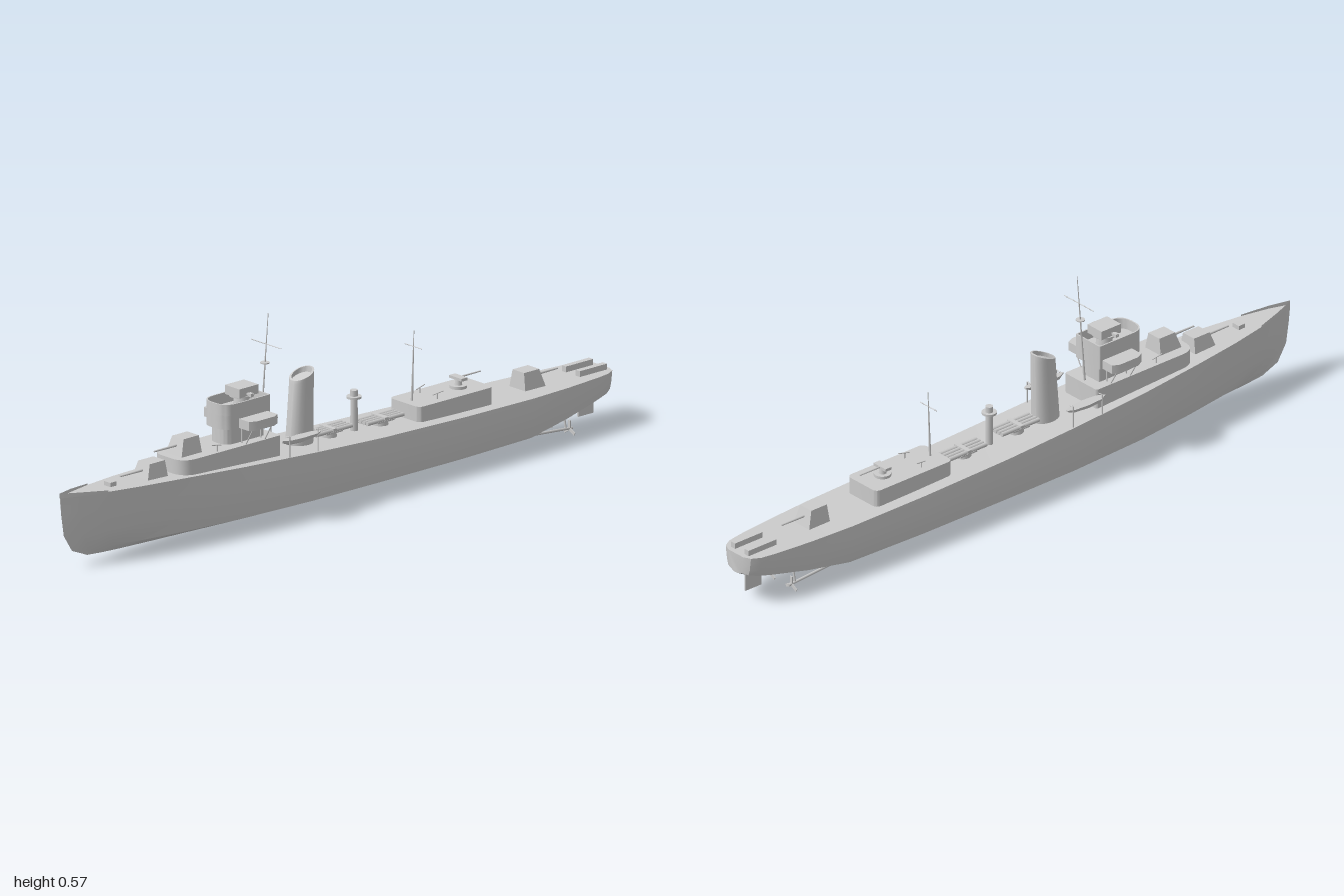
import * as THREE from 'three';
import { toCreasedNormals } from 'three/addons/utils/BufferGeometryUtils.js';

const grey = new THREE.MeshStandardMaterial({ color: 0xcccccc });
const thin = new THREE.MeshStandardMaterial({ color: 0xcccccc, side: THREE.DoubleSide });
const V = (x, y, z) => new THREE.Vector3(x, y, z);

// Hull stations: z, deck half width, deck height, chine half width, chine height, keel height
const STATIONS = [
  [-1, 0.03, 0.15, 0.022, 0.098, 0.092], [-0.99, 0.052, 0.15, 0.042, 0.095, 0.088],
  [-0.965, 0.066, 0.15, 0.056, 0.09, 0.082], [-0.92, 0.074, 0.15, 0.065, 0.082, 0.072],
  [-0.8, 0.086, 0.15, 0.076, 0.058, 0.046], [-0.66, 0.095, 0.151, 0.084, 0.036, 0.02],
  [-0.4, 0.1, 0.155, 0.09, 0.034, 0.015], [-0.1, 0.102, 0.163, 0.091, 0.034, 0.015],
  [0.15, 0.1, 0.174, 0.089, 0.034, 0.015], [0.4, 0.093, 0.186, 0.076, 0.034, 0.015],
  [0.6, 0.078, 0.195, 0.054, 0.034, 0.015], [0.75, 0.061, 0.2, 0.034, 0.035, 0.016],
  [0.86, 0.042, 0.203, 0.018, 0.037, 0.017], [0.94, 0.022, 0.205, 0.008, 0.04, 0.019],
  [1, 0.001, 0.206, 0.001, 0.045, 0.022],
];

function mesh(parent, name, geo, x = 0, y = 0, z = 0, mat = grey) {
  const m = new THREE.Mesh(geo, mat);
  m.name = name;
  m.position.set(x, y, z);
  parent.add(m);
  return m;
}
const box = (w, h, d) => new THREE.BoxGeometry(w, h, d);
const cyl = (r0, r1, h, n = 12) => new THREE.CylinderGeometry(r0, r1, h, n);

// Round bar between two points
function bar(parent, name, a, b, r0, r1 = r0) {
  const m = mesh(parent, name, cyl(r1, r0, a.distanceTo(b), 8));
  m.position.copy(a).lerp(b, 0.5);
  m.quaternion.setFromUnitVectors(V(0, 1, 0), b.clone().sub(a).normalize());
}

// Surface through cross-sections; each ring is a list of points
function loft(rings, closed, cap) {
  const n = rings[0].length, idx = [];
  for (let i = 0; i < rings.length - 1; i++)
    for (let j = 0; j < (closed ? n : n - 1); j++) {
      const a = i * n + j, d = i * n + ((j + 1) % n);
      idx.push(a, a + n, d + n, a, d + n, d);
    }
  if (cap) for (let j = 1; j < n - 1; j++) {
    idx.push(0, j, j + 1);
    const e = (rings.length - 1) * n;
    idx.push(e, e + j + 1, e + j);
  }
  const g = new THREE.BufferGeometry().setFromPoints(rings.flat());
  g.setIndex(idx);
  return toCreasedNormals(g, 0.5);
}

// Plan outline from back z0 to front z1 with rounded corners, raised by h
function plan(w, z0, z1, rb, rf) {
  const s = new THREE.Shape();
  s.moveTo(-w, -z0 - rb).lineTo(-w, -z1 + rf);
  s.quadraticCurveTo(-w, -z1, -w + rf, -z1).lineTo(w - rf, -z1);
  s.quadraticCurveTo(w, -z1, w, -z1 + rf).lineTo(w, -z0 - rb);
  s.quadraticCurveTo(w, -z0, w - rb, -z0).lineTo(-w + rb, -z0);
  s.quadraticCurveTo(-w, -z0, -w, -z0 - rb);
  return s;
}
function raise(shape, h) {
  const g = new THREE.ExtrudeGeometry(shape, { depth: h, bevelEnabled: false, curveSegments: 8 });
  return toCreasedNormals(g.rotateX(-Math.PI / 2), 0.6);
}

function buildHull(g) {
  const stem = [1, 0.995, 0.985, 0.955, 0.9];
  const rings = STATIONS.map(([z, w, dy, cw, cy, ky]) => {
    const bulge = z > -0.7 && z < 0.5 ? 0.003 : 0;
    const half = [[w, dy], [w * 0.8 + cw * 0.2 + bulge, dy * 0.7 + cy * 0.3],
      [w * 0.5 + cw * 0.5 + bulge, dy * 0.3 + cy * 0.7], [cw, cy], [cw * 0.3, ky]]
      .map(([x, y], i) => V(x, y, z > 0.5 ? 0.5 + (z - 0.5) * (stem[i] - 0.5) * 2 : z));
    return [...half, ...half.slice().reverse().map((p) => V(-p.x, p.y, p.z))];
  });
  mesh(g, 'hull', loft(rings, true, true));
  // Raised bulwark around the bow
  const bow = STATIONS.slice(-3);
  for (const s of [1, -1])
    mesh(g, 'bowBulwark', loft(bow.map(([z, w, y], i) =>
      [V(s * w, y + [0.004, 0.009, 0.012][i], z), V(s * w, y - 0.002, z)]), false), 0, 0, 0, thin);
}

// Gun with a tapered shield; dir is +1 facing the bow, -1 facing the stern
function gun(parent, y, z, h, dir) {
  const g = new THREE.Group();
  g.name = 'mainGun';
  const s = box(0.064, h, 0.075), p = s.attributes.position;
  for (let i = 0; i < p.count; i++) if (p.getY(i) > 0) {
    p.setX(i, p.getX(i) * 0.72);
    p.setZ(i, p.getZ(i) > 0 ? 0.022 : -0.034);
  }
  s.computeVertexNormals();
  mesh(g, 'gunShield', s, 0, h / 2, 0);
  mesh(g, 'gunBase', cyl(0.026, 0.026, 0.012, 16), 0, -0.002, 0);
  bar(g, 'gunBarrel', V(0, h * 0.55, 0.02), V(0, h * 0.55, 0.11), 0.004, 0.0025);
  g.position.set(0, y, z);
  if (dir < 0) g.rotation.y = Math.PI;
  parent.add(g);
}

function buildBridge(g) {
  mesh(g, 'forwardDeckhouse', raise(plan(0.066, 0.245, 0.605, 0.008, 0.05), 0.065), 0, 0.172, 0);
  mesh(g, 'lowerBridge', raise(plan(0.036, 0.28, 0.42, 0.005, 0.03), 0.05), 0, 0.236, 0);
  mesh(g, 'bridgeFloor', raise(plan(0.05, 0.27, 0.435, 0.004, 0.045), 0.04), 0, 0.284, 0);
  const wall = plan(0.05, 0.27, 0.435, 0.004, 0.045);
  wall.holes.push(plan(0.046, 0.274, 0.431, 0.004, 0.041));
  mesh(g, 'bridgeWall', raise(wall, 0.033), 0, 0.322, 0);
  mesh(g, 'directorPedestal', cyl(0.02, 0.024, 0.04, 16), 0, 0.34, 0.33);
  mesh(g, 'directorBase', cyl(0.034, 0.034, 0.005, 20), 0, 0.356, 0.33);
  mesh(g, 'director', box(0.058, 0.026, 0.07), 0, 0.371, 0.33);
  mesh(g, 'rangefinder', box(0.1, 0.005, 0.008), 0, 0.366, 0.335);
  for (const s of [1, -1]) {
    mesh(g, 'rangefinderEnd', box(0.014, 0.009, 0.012), s * 0.042, 0.366, 0.335);
    // Wing cabins with chamfered outer corners
    const w = new THREE.Shape([[0.048, 0.28], [0.09, 0.28], [0.1, 0.3], [0.1, 0.365], [0.09, 0.385], [0.048, 0.385]]
      .map(([x, z]) => new THREE.Vector2(s * x, -z)));
    mesh(g, 'bridgeWing', raise(w, 0.026), 0, 0.284, 0);
    for (const z of [0.3, 0.37]) {
      bar(g, 'wingStrut', V(s * 0.061, 0.236, z), V(s * 0.09, 0.286, z), 0.0017);
      bar(g, 'bridgePost', V(s * 0.045, 0.236, z), V(s * 0.045, 0.286, z), 0.002);
    }
    bar(g, 'lightGunPost', V(s * 0.055, 0.236, 0.47), V(s * 0.055, 0.255, 0.47), 0.002);
    bar(g, 'lightGunBarrel', V(s * 0.055, 0.252, 0.455), V(s * 0.055, 0.258, 0.49), 0.0015);
  }
}

function mast(g, name, a, b, yards) {
  bar(g, name, a, b, 0.0035, 0.001);
  for (const [y, w] of yards) {
    const p = a.clone().lerp(b, (y - a.y) / (b.y - a.y));
    bar(g, name + 'Yard', V(-w, y, p.z), V(w, y, p.z), 0.0013);
  }
}

function buildFunnel(g) {
  // Oval rings leaning aft, with a slanted rim and a recessed throat
  const ring = (y, z, rx, rz, tilt) => Array.from({ length: 24 }, (_, i) => {
    const t = -i / 24 * Math.PI * 2, c = Math.cos(t);
    return V(Math.sin(t) * rx, y - c * tilt, z + c * rz);
  }).reverse();
  mesh(g, 'funnel', loft([ring(0.16, 0.118, 0.033, 0.043, 0), ring(0.355, 0.109, 0.03, 0.037, 0.01),
    ring(0.368, 0.108, 0.032, 0.036, 0.013), ring(0.369, 0.108, 0.026, 0.03, 0.012),
    ring(0.355, 0.109, 0.026, 0.03, 0.01)], true, true), 0, 0, 0, thin);
}

function buildMidships(g) {
  // Two banks of torpedo tubes
  for (const [z, y] of [[0.01, 0.188], [-0.18, 0.179]]) {
    mesh(g, 'tubeTurntable', cyl(0.022, 0.024, 0.024, 20), 0, y - 0.014, z);
    mesh(g, 'tubeBed', box(0.052, 0.004, 0.06), 0, y - 0.005, z);
    for (const x of [-0.02, -0.007, 0.007, 0.02])
      bar(g, 'torpedoTube', V(x, y, z - 0.068), V(x, y, z + 0.066), 0.0062);
    mesh(g, 'tubeClamp', box(0.056, 0.008, 0.014), 0, y + 0.003, z);
  }
  // Searchlight tower
  mesh(g, 'searchlightTower', cyl(0.01, 0.011, 0.1), 0, 0.21, -0.085);
  mesh(g, 'searchlightPlatform', cyl(0.021, 0.021, 0.006, 20), 0, 0.259, -0.085);
  mesh(g, 'searchlight', cyl(0.011, 0.011, 0.018), 0, 0.27, -0.085);
  // Boats hung from davits
  const hullRing = (z, w, d) => [V(w, 0.227, z), V(w * 0.75, 0.227 - d * 0.65, z), V(0, 0.227 - d, z),
    V(-w * 0.75, 0.227 - d * 0.65, z), V(-w, 0.227, z)];
  const boat = loft([[0.12, 0.004, 0.005], [0.14, 0.013, 0.014], [0.19, 0.017, 0.018], [0.235, 0.013, 0.016],
    [0.258, 0.001, 0.006]].map(([z, w, d]) => hullRing(z, w, d)), true, true);
  for (const s of [1, -1]) {
    mesh(g, 'boat', boat, s * 0.086, 0, 0);
    for (const z of [0.135, 0.24]) {
      bar(g, 'davit', V(s * 0.095, 0.165, z), V(s * 0.095, 0.237, z), 0.0017);
      bar(g, 'davitArm', V(s * 0.095, 0.237, z), V(s * 0.08, 0.235, z), 0.0015);
    }
  }
}

function buildAft(g) {
  mesh(g, 'aftDeckhouse', raise(plan(0.061, -0.545, -0.27, 0.018, 0.018), 0.055), 0, 0.147, 0);
  mast(g, 'aftMast', V(0, 0.19, -0.298), V(0, 0.4, -0.306), [[0.355, 0.034]]);
  // Light anti-aircraft gun
  mesh(g, 'lightGunPlatform', cyl(0.024, 0.024, 0.008, 20), 0, 0.206, -0.47);
  mesh(g, 'lightGunPedestal', cyl(0.008, 0.011, 0.02), 0, 0.219, -0.47);
  mesh(g, 'lightGunBody', box(0.05, 0.008, 0.022), 0, 0.23, -0.47);
  bar(g, 'lightGunBarrel', V(0, 0.231, -0.46), V(0, 0.231, -0.552), 0.003, 0.002);
  gun(g, 0.15, -0.725, 0.05, -1);
  for (const s of [1, -1]) {
    bar(g, 'smallGunPost', V(s * 0.035, 0.2, -0.36), V(s * 0.035, 0.217, -0.36), 0.002);
    bar(g, 'smallGunBarrel', V(s * 0.033, 0.215, -0.345), V(s * 0.038, 0.221, -0.38), 0.0015);
    mesh(g, 'sternRack', box(0.017, 0.017, 0.1), s * 0.028, 0.158, -0.935);
    // Shafts and three-bladed propellers
    bar(g, 'propellerShaft', V(s * 0.045, 0.03, -0.66), V(s * 0.045, 0.0155, -0.848), 0.004);
    bar(g, 'shaftBracket', V(s * 0.045, 0.016, -0.825), V(s * 0.036, 0.06, -0.825), 0.003);
    for (let k = 0; k < 3; k++) {
      const a = k * Math.PI * 2 / 3;
      const blade = mesh(g, 'propellerBlade', box(0.009, 0.023, 0.003).translate(0, 0.0125, 0), s * 0.045, 0.0155, -0.838);
      blade.rotation.z = a;
    }
  }
  mesh(g, 'rudder', box(0.006, 0.068, 0.056), 0, 0.057, -0.938);
}

export function createModel() {
  const g = new THREE.Group();
  g.name = 'warship';
  buildHull(g);
  buildBridge(g);
  gun(g, 0.194, 0.668, 0.046, 1);
  gun(g, 0.237, 0.543, 0.047, 1);
  mesh(g, 'bowHatch', box(0.026, 0.016, 0.022), 0, 0.206, 0.815);
  mast(g, 'foremast', V(0, 0.17, 0.265), V(0, 0.566, 0.232), [[0.48, 0.06]]);
  mesh(g, 'lookoutPlatform', cyl(0.013, 0.013, 0.003, 12), 0, 0.428, 0.244);
  buildFunnel(g);
  buildMidships(g);
  buildAft(g);
  return g;
}
